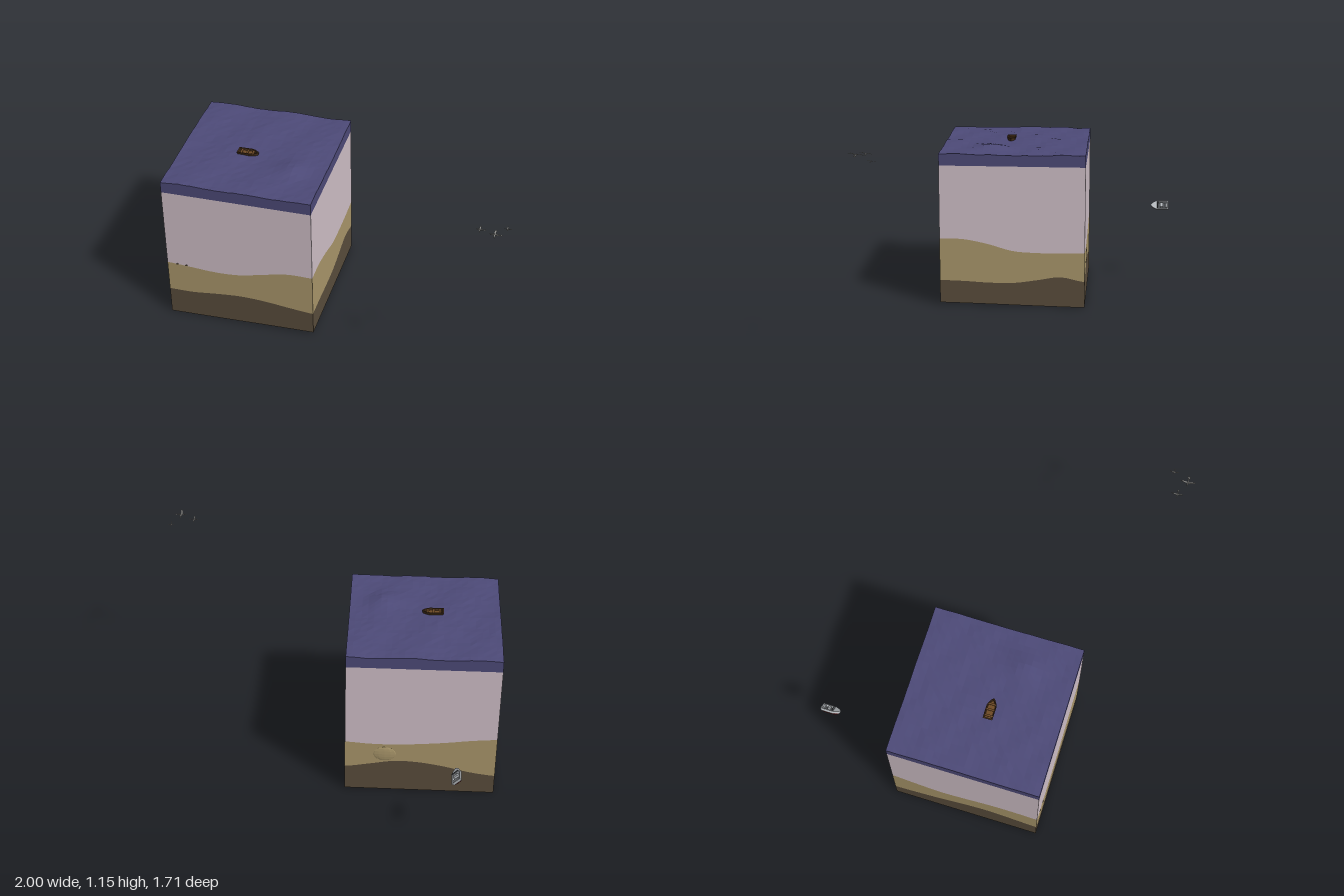
import * as THREE from 'three';

const X0 = -1, X1 = -0.13, Z0 = -0.35, Z1 = 0.52;
const mat = (color, side = THREE.FrontSide) =>
  new THREE.MeshStandardMaterial({ color, side, flatShading: true });
const WATER = mat(0x4d4a78), GLASS = mat(0xd0c0c8), SAND = mat(0xaa976b), EARTH = mat(0x5a4d3c);

function add(parent, name, geometry, material, x = 0, y = 0, z = 0) {
  const m = new THREE.Mesh(geometry, material);
  m.name = name;
  m.position.set(x, y, z);
  parent.add(m);
  return m;
}

// Small repeatable noise on the grid of the sea surface
const noise = (i, j) => {
  const s = Math.sin(i * 127.1 + j * 311.7) * 43758.5453;
  return s - Math.floor(s) - 0.5;
};
const seaHeight = (x, z) =>
  0.929 + 0.003 * Math.sin(x * 17 + z * 8) + 0.0015 * Math.sin(z * 31 - x * 13)
  + 0.003 * noise(Math.round(x * 50), Math.round(z * 50))
  + 0.024 * Math.exp(-((x + 0.32) ** 2 + (z - 0.23) ** 2) / 0.007);

// Boundary heights around the block: front, right, back, left
const earthTop = [
  [0.17, 0.17, 0.185, 0.195, 0.188, 0.17, 0.155],
  [0.155, 0.152, 0.145, 0.145, 0.165, 0.187, 0.16],
  [0.16, 0.185, 0.21, 0.205, 0.18, 0.145, 0.125],
  [0.125, 0.14, 0.165, 0.2, 0.215, 0.195, 0.17],
];
const sandTop = [
  [0.365, 0.355, 0.345, 0.352, 0.385, 0.415, 0.415],
  [0.415, 0.412, 0.385, 0.345, 0.335, 0.335, 0.34],
  [0.34, 0.33, 0.33, 0.34, 0.355, 0.375, 0.388],
  [0.388, 0.355, 0.33, 0.345, 0.37, 0.375, 0.365],
];
const base = [[0, 0.015], [0.015, 0], [0, 0], [0, 0]];
const corners = [[X0, Z1], [X1, Z1], [X1, Z0], [X0, Z0]];
const N = 24;

const fromTable = (table) => {
  const curves = table.map((row) => new THREE.SplineCurve(row.map((h, i) => new THREE.Vector2(i, h))));
  return (side, t) => curves[side].getPoint(t).y;
};

// Walls of one layer, between a lower and an upper boundary
function layerWalls(lower, upper) {
  const pos = [];
  for (let s = 0; s < 4; s++) {
    const [ax, az] = corners[s], [bx, bz] = corners[(s + 1) % 4];
    const column = (t) => {
      const x = ax + (bx - ax) * t, z = az + (bz - az) * t;
      return [[x, lower(s, t, x, z), z], [x, upper(s, t, x, z), z]];
    };
    for (let i = 0; i < N; i++) {
      const [a, d] = column(i / N), [b, c] = column((i + 1) / N);
      pos.push(...a, ...b, ...c, ...a, ...c, ...d);
    }
  }
  const g = new THREE.BufferGeometry();
  g.setAttribute('position', new THREE.Float32BufferAttribute(pos, 3));
  g.computeVertexNormals();
  return g;
}

// Horizontal sheet over the block with heights from a rule
function sheet(segments, height) {
  const g = new THREE.PlaneGeometry(X1 - X0, Z1 - Z0, segments, segments).rotateX(-Math.PI / 2);
  g.translate((X0 + X1) / 2, 0, (Z0 + Z1) / 2);
  const p = g.attributes.position;
  for (let i = 0; i < p.count; i++) p.setY(i, height(p.getX(i), p.getZ(i)));
  g.computeVertexNormals();
  return g;
}

// Boat outline: square stern, pointed bow towards +x
function outline(length, width, Kind = THREE.Shape) {
  const l = length / 2, w = width / 2, s = new Kind();
  s.moveTo(-l, -w);
  s.lineTo(l * 0.25, -w);
  s.quadraticCurveTo(l * 0.7, -w * 0.8, l, 0);
  s.quadraticCurveTo(l * 0.7, w * 0.8, l * 0.25, w);
  s.lineTo(-l, w);
  s.closePath();
  return s;
}

// Outline raised to a height, drawn in towards its lower end
function hull(shape, height, taper) {
  const g = new THREE.ExtrudeGeometry(shape, { depth: height, bevelEnabled: false, curveSegments: 5 });
  g.rotateX(-Math.PI / 2);
  const p = g.attributes.position;
  for (let i = 0; i < p.count; i++) {
    const k = THREE.MathUtils.lerp(taper, 1, p.getY(i) / height);
    p.setX(i, p.getX(i) * (0.5 + k / 2));
    p.setZ(i, p.getZ(i) * k);
  }
  g.computeVertexNormals();
  return g;
}

function rowingBoat() {
  const boat = new THREE.Group(), wood = mat(0x6e4a26), dark = mat(0x46301c);
  boat.name = 'rowingBoat';
  const rim = outline(0.125, 0.055);
  rim.holes.push(outline(0.108, 0.045, THREE.Path));
  add(boat, 'hullSides', hull(rim, 0.02, 0.8), dark);
  add(boat, 'floor', hull(outline(0.11, 0.047), 0.008, 0.9), wood);
  for (const x of [-0.04, -0.005, 0.028])
    add(boat, 'bench', new THREE.BoxGeometry(0.012, 0.003, 0.044), wood, x, 0.015, 0);
  return boat;
}

function motorBoat() {
  const boat = new THREE.Group();
  boat.name = 'motorBoat';
  const grey = mat(0xb8bcc0), dark = mat(0x55585c), red = mat(0x8c2f2f);
  add(boat, 'lowerHull', hull(outline(0.108, 0.054), 0.014, 0.4), red, 0, -0.02, 0);
  const rim = outline(0.115, 0.062);
  const well = new THREE.Path();
  well.setFromPoints([[-0.05, -0.024], [0.012, -0.024], [0.012, 0.024], [-0.05, 0.024]]
    .map(([x, y]) => new THREE.Vector2(x, y)));
  rim.holes.push(well);
  add(boat, 'upperHull', hull(rim, 0.017, 0.87), grey, 0, -0.006, 0);
  add(boat, 'cockpitFloor', new THREE.BoxGeometry(0.062, 0.003, 0.047), dark, -0.019, -0.003, 0);
  add(boat, 'console', new THREE.BoxGeometry(0.018, 0.018, 0.028), grey, -0.012, 0.006, 0);
  add(boat, 'engine', new THREE.BoxGeometry(0.012, 0.016, 0.03), grey, -0.042, 0.004, 0);
  const screen = add(boat, 'windscreen', new THREE.BoxGeometry(0.003, 0.014, 0.044), dark, 0.013, 0.015, 0);
  screen.rotation.z = 0.5;
  return boat;
}

// Gull gliding towards -x, one unit long
function gull() {
  const bird = new THREE.Group(), grey = mat(0x8a8a88, THREE.DoubleSide);
  bird.name = 'gull';
  add(bird, 'body', new THREE.SphereGeometry(0.5, 8, 6).scale(0.85, 0.14, 0.15), grey);
  add(bird, 'beak', new THREE.ConeGeometry(0.05, 0.14, 5).rotateZ(Math.PI / 2), grey, -0.44, 0, 0);
  add(bird, 'tail', new THREE.CylinderGeometry(0.14, 0.05, 0.25, 4).scale(1, 1, 1)
    .rotateZ(-Math.PI / 2).scale(1, 0.15, 1), grey, 0.42, 0, 0);
  const wing = new THREE.BoxGeometry(0.2, 0.025, 1.3, 1, 1, 12);
  const p = wing.attributes.position;
  for (let i = 0; i < p.count; i++) {
    const t = Math.abs(p.getZ(i)) / 0.65;
    p.setX(i, p.getX(i) * (1 - 0.65 * t * t) + 0.08 * t * t);
    p.setY(i, p.getY(i) + 0.12 * Math.sin(t * 2.6));
  }
  wing.computeVertexNormals();
  add(bird, 'wings', wing, grey, -0.05, 0, 0);
  return bird;
}

export function createModel() {
  const model = new THREE.Group();
  model.name = 'seaBlock';

  // Layers of the block
  const earthLine = fromTable(earthTop), sandLine = fromTable(sandTop);
  const waterLine = () => 0.86;
  add(model, 'earthLayer', layerWalls(fromTable(base), earthLine), EARTH);
  add(model, 'sandLayer', layerWalls(earthLine, sandLine), SAND);
  add(model, 'deepWaterLayer', layerWalls(sandLine, waterLine), GLASS);
  add(model, 'surfaceWaterLayer', layerWalls(waterLine, (s, t, x, z) => seaHeight(x, z)), WATER);
  add(model, 'seaSurface', sheet(N, seaHeight), WATER);
  const underside = EARTH.clone();
  underside.side = THREE.BackSide;
  add(model, 'underside', sheet(1, (x, z) => (x > -0.5 && z > 0 ? 0.015 : 0)), underside);

  // Bulge of sand at the back and pebbles at the front
  add(model, 'sandBulge', new THREE.SphereGeometry(1, 12, 8).scale(0.07, 0.05, 0.008), SAND, -0.36, 0.26, -0.348);
  for (const x of [-0.94, -0.885])
    add(model, 'pebble', new THREE.DodecahedronGeometry(0.007).scale(1.1, 0.6, 0.7), EARTH, x, 0.362, Z1);

  // Boats
  const rower = rowingBoat();
  rower.position.set(-0.61, 0.925, 0.125);
  model.add(rower);
  const motor = motorBoat(), s = Math.SQRT1_2;
  motor.setRotationFromMatrix(new THREE.Matrix4().makeBasis(
    new THREE.Vector3(0, 0, 1), new THREE.Vector3(s, s, 0), new THREE.Vector3(-s, s, 0)));
  motor.position.set(-0.758, 0.483, -0.798);
  model.add(motor);

  // Flock
  for (const [x, y, z, size] of [[0.845, 1.132, 0.77, 0.05], [0.928, 1.143, 0.808, 0.065], [0.978, 1.122, 0.718, 0.038]]) {
    const bird = gull();
    bird.position.set(x, y, z);
    bird.rotation.x = -0.12;
    bird.scale.setScalar(size);
    model.add(bird);
  }
  return model;
}
